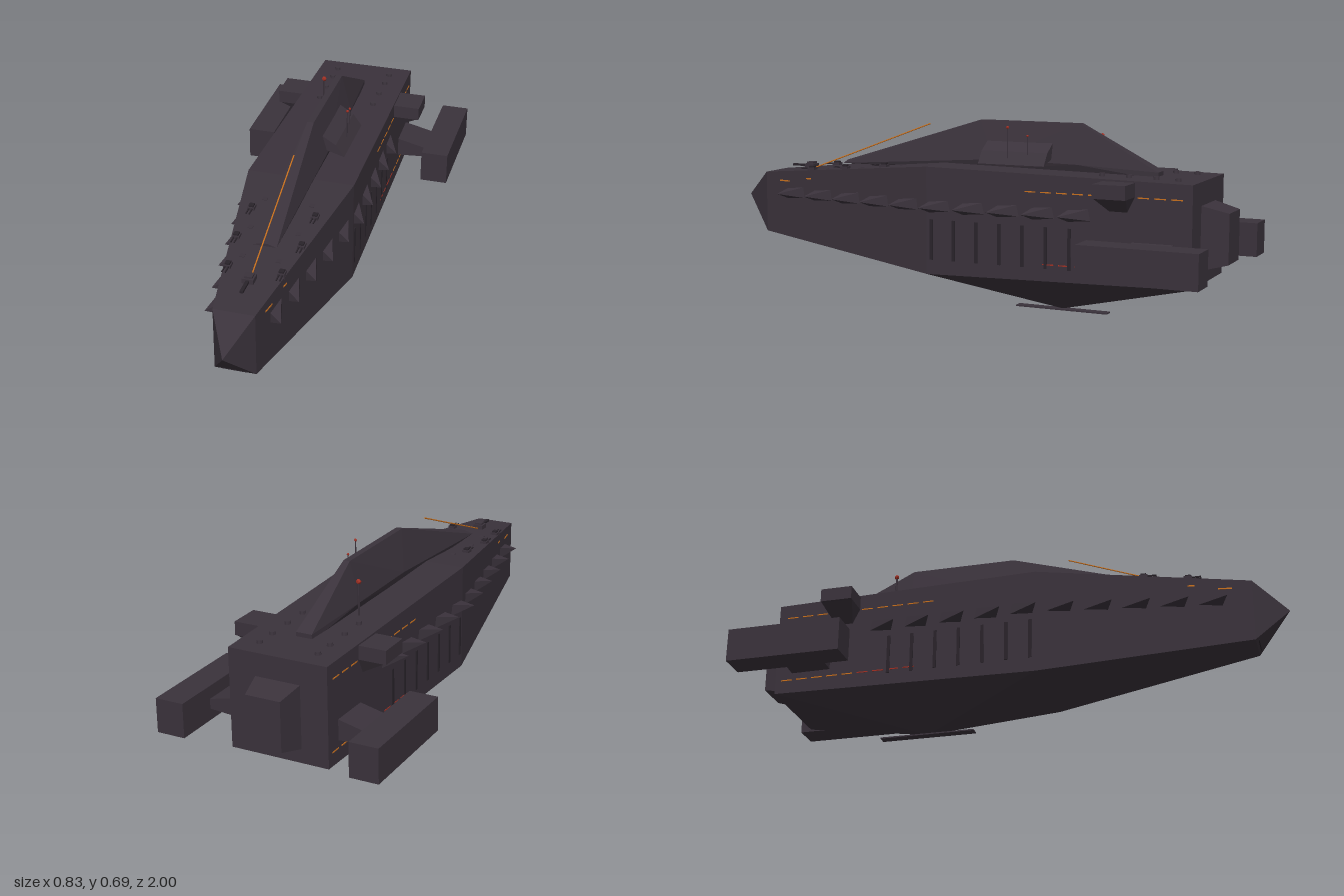
import * as THREE from 'three';
import { ConvexGeometry } from 'three/addons/geometries/ConvexGeometry.js';

export function createModel() {
  const model = new THREE.Group();
  model.name = 'spaceship';

  const paint = (name, hex, extra) => {
    const m = new THREE.MeshStandardMaterial({ color: hex, flatShading: true, ...extra });
    m.name = name;
    return m;
  };
  const plating = paint('dark plating', 0x3a323b);
  const recess = paint('recessed plating', 0x29232a);
  const amber = paint('amber lights', 0xc8701e);
  const red = paint('red beacons', 0xa03024);

  const add = (name, geometry, material, x = 0, y = 0, z = 0) => {
    const mesh = new THREE.Mesh(geometry, material);
    mesh.name = name;
    mesh.position.set(x, y, z);
    model.add(mesh);
    return mesh;
  };
  const box = (name, mat, w, h, d, x, y, z) => add(name, new THREE.BoxGeometry(w, h, d), mat, x, y, z);
  // Faceted solid around corner points [x, y, z]
  const solid = (name, points, mat = plating) =>
    add(name, new ConvexGeometry(points.map(p => new THREE.Vector3(...p))), mat);
  const both = points => points.flatMap(([x, y, z]) => [[x, y, z], [-x, y, z]]);
  const rod = (name, a, b, r, mat) => {
    const from = new THREE.Vector3(...a), to = new THREE.Vector3(...b);
    const dir = to.clone().sub(from);
    const mesh = add(name, new THREE.CylinderGeometry(r, r, dir.length(), 6), mat);
    mesh.position.copy(from).add(to).multiplyScalar(0.5);
    mesh.quaternion.setFromUnitVectors(new THREE.Vector3(0, 1, 0), dir.normalize());
  };
  // Half-width and deck height of the hull along z
  const lerp = THREE.MathUtils.lerp;
  const hullWidth = z => z > 0.1 ? lerp(0.2, 0.073, (z - 0.1) / 0.775) : lerp(0.2, 0.185, (0.1 - z) / 1.0);
  const deckY = z => z > 0.1 ? lerp(0.528, 0.457, (z - 0.1) / 0.775) : lerp(0.528, 0.512, 0.1 - z);

  // Main hull with pointed bow and keel
  solid('hull', [
    [0, 0.355, 1], [0, 0.004, -0.36],
    ...both([
      [0.073, 0.457, 0.875], [0.073, 0.222, 0.875],
      [0.2, 0.528, 0.1], [0.2, 0.13, 0.1],
      [0.185, 0.512, -0.905], [0.185, 0.15, -0.905],
    ]),
  ]);
  box('keelPlate', plating, 0.035, 0.005, 0.36, 0, 0.0025, -0.36);
  box('bowSlot', recess, 0.09, 0.008, 0.02, 0, 0.234, 0.876);

  // Tapered stern engine block
  solid('sternEngine', both([
    [0.085, 0.43, -0.9], [0.085, 0.2, -0.9], [0.065, 0.405, -1], [0.065, 0.225, -1],
  ]));

  // Dorsal superstructure
  solid('dorsalTower', both([
    [0.043, 0.505, 0.54], [0.01, 0.515, 0.54],
    [0.055, 0.55, -0.1], [0.045, 0.515, -0.1],
    [0.012, 0.69, -0.03], [0.012, 0.69, -0.43],
    [0.05, 0.545, -0.43], [0.03, 0.53, -0.73], [0.03, 0.505, -0.73],
  ]));
  rod('bowBoom', [0, 0.477, 0.69], [0, 0.667, 0.185], 0.0025, amber);

  // Lookout wing on one side of the tower
  solid('lookoutWing', [-0.07, -0.33].flatMap(z => [
    [0.025, 0.622, z], [0.085, 0.585, z], [0.118, 0.54, z], [0.04, 0.562, z],
  ]));

  // Masts with beacons: x, z, base, top, beacon radius
  for (const [x, z, base, top, r] of [
    [-0.073, -0.48, 0.515, 0.642, 0.01],
    [0.1, -0.18, 0.56, 0.674, 0.006],
    [0.09, -0.255, 0.575, 0.645, 0.005],
  ]) {
    rod('mast', [x, base, z], [x, top, z], r * 0.4, plating);
    add('beacon', new THREE.IcosahedronGeometry(r, 0), red, x, top, z);
  }

  // Bow deck gun
  box('bowGunBase', plating, 0.04, 0.018, 0.04, 0, 0.482, 0.71);
  box('bowGunTop', plating, 0.028, 0.014, 0.028, 0, 0.491, 0.71);
  box('bowGunBarrel', recess, 0.012, 0.008, 0.07, 0, 0.483, 0.76);

  for (const s of [1, -1]) {
    // Forward-pointing side fins
    for (let i = 0; i < 10; i++) {
      const z = 0.79 - i * 0.1355, w = hullWidth(z);
      const rear = hullWidth(z - 0.12);
      solid('sideFin', [
        [s * (w - 0.02), 0.41, z - 0.035], [s * (w - 0.02), 0.35, z - 0.035],
        [s * (w + 0.046), 0.38, z],
        [s * (rear - 0.005), 0.41, z - 0.11], [s * (rear - 0.005), 0.365, z - 0.12],
      ]);
    }

    // Upper sponson with sloped bracket
    box('sponson', plating, 0.11, 0.05, 0.12, s * 0.235, 0.485, -0.64);
    solid('sponsonBracket', [
      [s * 0.18, 0.46, -0.58], [s * 0.18, 0.46, -0.7], [s * 0.28, 0.46, -0.58],
      [s * 0.28, 0.46, -0.7], [s * 0.18, 0.4, -0.61], [s * 0.18, 0.4, -0.67],
    ]);

    // Engine nacelle on a tapered pylon
    box('nacelle', plating, 0.106, 0.125, 0.43, s * 0.364, 0.2575, -0.785);
    solid('nacellePylon', [-0.69, -0.84].flatMap(z => [
      [s * 0.17, 0.306, z], [s * 0.17, 0.226, z], [s * 0.315, 0.272, z], [s * 0.315, 0.237, z],
    ]));

    // Deck turrets with twin barrels
    for (const z of [0.32, 0.49, 0.65]) {
      const x = s * Math.min(0.117, hullWidth(z) - 0.015), y = deckY(z);
      box('turretBase', plating, 0.026, 0.02, 0.03, x, y, z);
      box('turretTop', recess, 0.018, 0.008, 0.02, x, y + 0.012, z);
      for (const dx of [-0.006, 0.006]) box('turretBarrel', recess, 0.004, 0.004, 0.035, x + dx, y + 0.005, z + 0.03);
      box('deckLocker', plating, 0.018, 0.014, 0.03, x - s * 0.03, y, z - 0.07);
    }

    // Small vents on the stern deck
    for (const z of [-0.55, -0.65, -0.75, -0.83])
      add('deckVent', new THREE.CylinderGeometry(0.01, 0.012, 0.014, 8), plating, s * 0.11, deckY(z) + 0.004, z);

    // Vertical hull ribs
    for (let i = 0; i < 7; i++) {
      const z = 0.08 - i * 0.09;
      box('hullRib', recess, 0.006, 0.15, 0.012, s * hullWidth(z), 0.26, z);
    }

    // Rows of light strips: first z, count, height
    for (const [z0, count, y, mat] of [[-0.31, 10, 0.458, amber], [-0.38, 4, 0.2, red], [-0.62, 5, 0.2, amber]])
      for (let i = 0; i < count; i++) {
        const z = z0 - i * 0.06;
        box('lightStrip', mat, 0.003, 0.004, 0.042, s * (hullWidth(z) + 0.0005), y, z);
      }
    for (const [z, y, d] of [[0.78, 0.428, 0.05], [0.66, 0.444, 0.025]]) {
      const light = box('bowLight', amber, 0.003, 0.005, d, s * (hullWidth(z) + 0.0005), y, z);
      light.rotation.y = -s * 0.162;
    }
  }
  return model;
}
